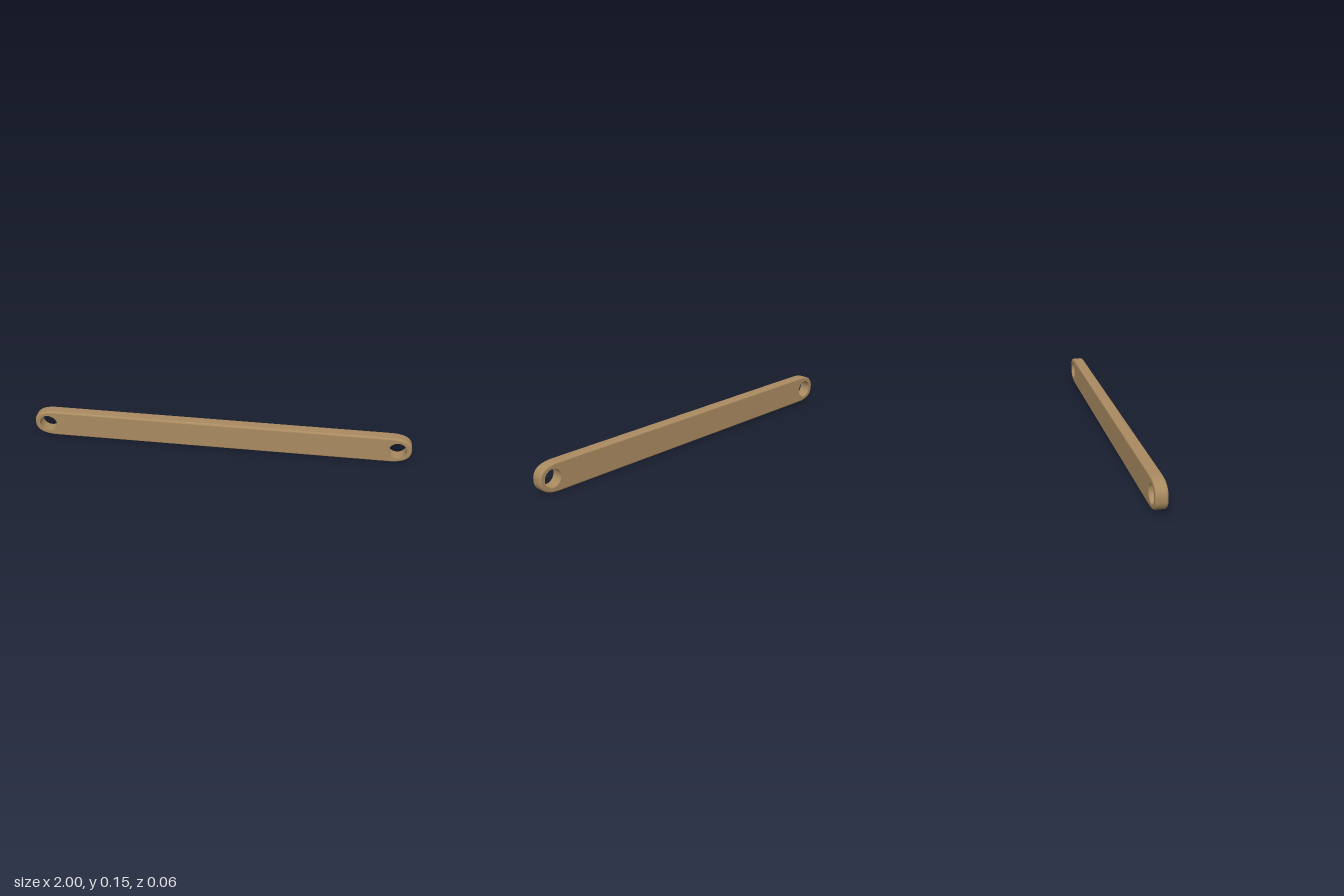
import * as THREE from 'three';

const HALF_H = 0.075, HALF_D = 0.03;       // bar half height and half depth
const END_X = 0.88, END_R = 0.12, POW = 2.5; // rounded ends
const HOLE_X = 0.927, HOLE_R = 0.047;
const EDGE_IN = 0.009, EDGE_Z = 0.013;     // softened long edges

// Outline points with outward normals, counter-clockwise
function outline() {
  const pts = [], steps = 40;
  for (const side of [1, -1]) {
    for (let i = 0; i <= steps; i++) {
      const t = -Math.PI / 2 + Math.PI * i / steps;
      const c = Math.max(0, Math.cos(t)), s = Math.sin(t);
      const u = i % steps === 0 ? 0 : Math.pow(c, 2 / POW);
      const v = Math.sign(s) * Math.pow(Math.abs(s), 2 / POW);
      const n = new THREE.Vector2(
        Math.pow(u, POW - 1) / END_R,
        Math.sign(v) * Math.pow(Math.abs(v), POW - 1) / HALF_H).normalize();
      pts.push({
        p: new THREE.Vector2(side * (END_X + END_R * u), side * HALF_H * v),
        n: n.multiplyScalar(side),
      });
    }
  }
  return pts;
}

const inset = (o, d) => o.p.clone().addScaledVector(o.n, -d);

// Outer band: the outline swept through a rounded edge profile
function rimGeometry(loop) {
  const rows = [], arc = 6;
  for (let i = 0; i <= arc; i++) {
    const a = i / arc * Math.PI / 2;
    rows.push([EDGE_IN * (1 - Math.sin(a)), HALF_D - EDGE_Z * (1 - Math.cos(a))]);
  }
  for (let i = arc; i >= 0; i--) rows.push([rows[i][0], -rows[i][1]]);
  const pos = [], idx = [], N = loop.length;
  rows.forEach(([d, z], j) => loop.forEach((o, i) => {
    const q = inset(o, d);
    pos.push(q.x, q.y, z);
    if (j === rows.length - 1) return;
    const a = j * N + i, b = j * N + (i + 1) % N;
    idx.push(a, a + N, b, b, a + N, b + N);
  }));
  const g = new THREE.BufferGeometry();
  g.setAttribute('position', new THREE.Float32BufferAttribute(pos, 3));
  g.setIndex(idx);
  g.computeVertexNormals();
  return g;
}

export function createModel() {
  const group = new THREE.Group();
  const mat = new THREE.MeshStandardMaterial({ color: 0xa98a60 });
  const inner = new THREE.MeshStandardMaterial({ color: 0xa98a60, side: THREE.BackSide });
  const add = (name, geo, m = mat) => {
    const mesh = new THREE.Mesh(geo, m);
    mesh.name = name;
    mesh.position.y = HALF_H;
    group.add(mesh);
    return mesh;
  };

  const loop = outline();
  add('roundedRim', rimGeometry(loop));

  // Flat faces with a pin hole at each end
  const shape = new THREE.Shape(loop.map(o => inset(o, EDGE_IN)));
  for (const s of [1, -1]) {
    shape.holes.push(new THREE.Path().absarc(s * HOLE_X, 0, HOLE_R, 0, Math.PI * 2, true));
  }
  const face = new THREE.ShapeGeometry(shape, 24);
  add('frontFace', face).position.z = HALF_D;
  const back = add('backFace', face);
  back.rotation.y = Math.PI;
  back.position.z = -HALF_D;

  // Hole walls, seen from inside
  for (const s of [1, -1]) {
    const wall = new THREE.CylinderGeometry(HOLE_R, HOLE_R, HALF_D * 2, 48, 1, true).rotateX(Math.PI / 2);
    add(s > 0 ? 'leftHoleWall' : 'rightHoleWall', wall, inner).position.x = s * HOLE_X;
  }
  return group;
}
